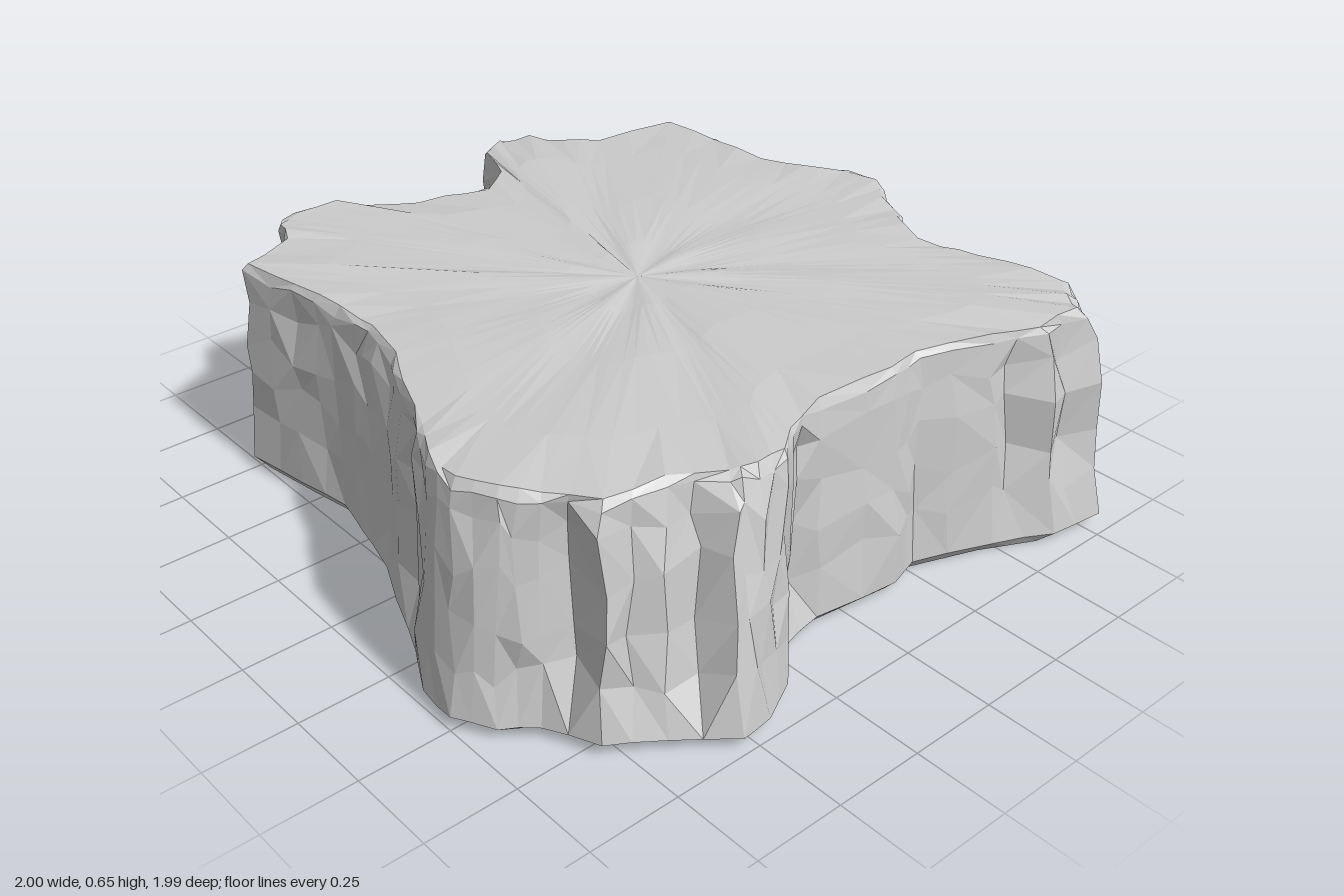
import * as THREE from 'three';

// Foot of the cliff, clockwise from above: x, z, and how far the rim draws in
const OUTLINE = [
  [-0.77, -0.75, 0.97], [-0.61, -0.84, 0.95], [-0.57, -0.91, 0.97], [-0.49, -0.96, 0.96],
  [-0.37, -0.94, 0.96], [-0.26, -0.89, 0.87], [-0.1, -0.83, 0.89], [0.04, -0.84, 0.83],
  [0.15, -0.87, 0.88], [0.2, -0.96, 0.95], [0.29, -1, 0.96], [0.38, -0.97, 0.96],
  [0.44, -0.87, 0.96], [0.53, -0.8, 0.96], [0.8, -0.76, 0.97], [0.8, -0.55, 0.98],
  [0.8, -0.34, 0.98], [0.9, -0.22, 0.93], [0.96, -0.12, 0.95], [1, 0, 0.93],
  [0.93, 0.1, 0.92], [0.84, 0.22, 0.94], [0.75, 0.35, 0.97], [0.8, 0.48, 0.95],
  [0.86, 0.64, 0.93], [0.88, 0.8, 0.94], [0.82, 0.88, 0.93], [0.79, 0.97, 0.91],
  [0.63, 0.95, 0.92], [0.47, 0.87, 0.95], [0.25, 0.79, 0.96], [0.15, 0.82, 0.94],
  [-0.1, 0.79, 0.96], [-0.24, 0.82, 0.98], [-0.33, 0.92, 0.93], [-0.45, 0.98, 0.88],
  [-0.54, 0.99, 0.84], [-0.67, 0.88, 0.87], [-0.8, 0.8, 0.93], [-0.86, 0.66, 0.96],
  [-0.94, 0.6, 0.94], [-1, 0.5, 0.93], [-0.99, 0.38, 0.93], [-0.92, 0.25, 0.93],
  [-0.84, 0.05, 0.93], [-0.78, -0.08, 0.92], [-0.74, -0.25, 0.92], [-0.71, -0.38, 0.97],
  [-0.74, -0.55, 0.97],
];

// Rings from the underside centre, up the cliff, to the middle of the plateau:
// height, scale, draw-in towards the rim (0..1), roughness
const RINGS = [
  [0, 0, 0, 0], [0, 0.96, 0, 0], [0.035, 1, 0, 0.1], [0.17, 1, 0.15, 1], [0.3, 1, 0.35, 1],
  [0.43, 1, 0.5, 1], [0.55, 1, 0.7, 0.9], [0.62, 1, 0.92, 0.35], [0.645, 0.985, 1, 0.1],
  [0.645, 0.78, 1, 0], [0.645, 0.45, 1, 0], [0.64, 0.18, 1, 0], [0.635, 0, 1, 0],
];

function seededRandom(seed) {
  return () => {
    seed = (seed * 16807) % 2147483647;
    return seed / 2147483647;
  };
}

// Columns: every outline point plus a slightly shifted one between neighbours
function makeColumns(random) {
  const columns = [];
  OUTLINE.forEach((a, i) => {
    const b = OUTLINE[(i + 1) % OUTLINE.length];
    const t = 0.38 + random() * 0.24;
    columns.push({ p: a, groove: random() * 0.012 });
    columns.push({
      p: a.map((v, k) => v + (b[k] - v) * t),
      groove: random() < 0.4 ? 0.03 + random() * 0.035 : random() * 0.01,
    });
  });
  return columns;
}

function rockGeometry() {
  const random = seededRandom(4211);
  const columns = makeColumns(random);
  const count = columns.length;
  const positions = [];
  const index = [];

  RINGS.forEach(([y, scale, drawIn, rough], r) => {
    const onTop = r > 8 && scale > 0;
    columns.forEach(({ p, groove }, i) => {
      const inset = 1 + (p[2] - 1) * drawIn;
      const s = scale * inset - rough * (groove + (random() - 0.5) * 0.025);
      const wobble = rough * (random() - 0.5);
      // Low radial swells on the plateau
      const swell = onTop ? 0.005 * Math.sin(i * 0.55 + r * 1.7) : 0;
      const chip = r === 8 ? -0.012 * random() : 0;
      // Fractured corners wander sideways along the cliff
      const slide = rough * (random() - 0.5) * 0.025;
      positions.push(
        p[0] * s - p[1] * slide,
        y + wobble * 0.07 + swell + chip,
        p[1] * s + p[0] * slide,
      );
    });
  });

  for (let r = 0; r < RINGS.length - 1; r++) {
    for (let i = 0; i < count; i++) {
      const j = (i + 1) % count;
      const a = r * count + i, b = a + count;
      const d = r * count + j, c = d + count;
      if (r === 0) index.push(a, b, c);
      else if (r === RINGS.length - 2) index.push(a, b, d);
      else if (random() < 0.5) index.push(a, b, c, a, c, d);
      else index.push(a, b, d, b, c, d);
    }
  }

  const geometry = new THREE.BufferGeometry();
  geometry.setAttribute('position', new THREE.Float32BufferAttribute(positions, 3));
  geometry.setIndex(index);
  geometry.computeVertexNormals();
  return geometry;
}

export function createModel() {
  const group = new THREE.Group();
  group.name = 'rockPlateau';
  const material = new THREE.MeshStandardMaterial({ color: 0xcccccc, flatShading: true });
  const rock = new THREE.Mesh(rockGeometry(), material);
  rock.name = 'rock';
  group.add(rock);
  return group;
}
